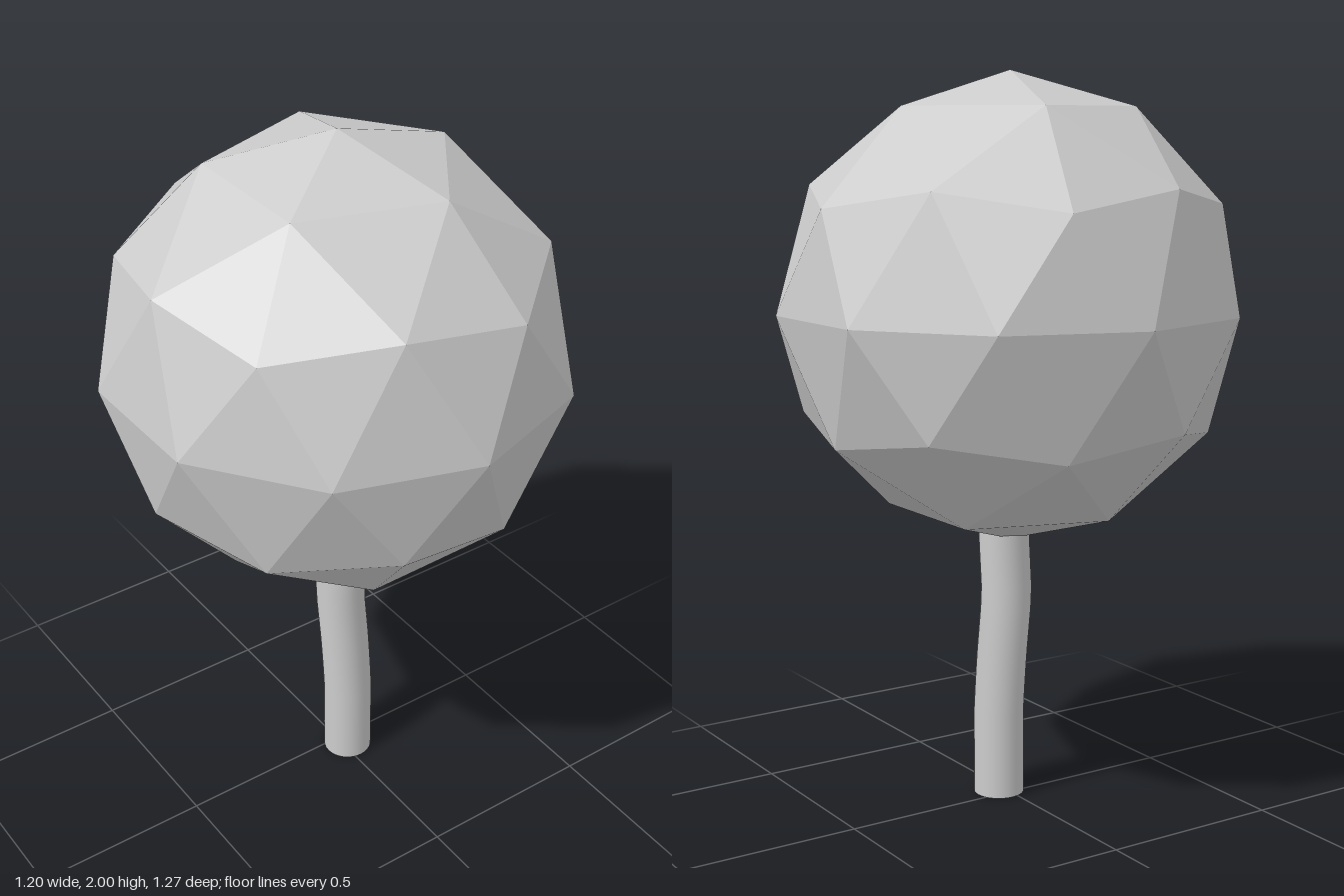
import * as THREE from 'three';

export function createModel() {
  const group = new THREE.Group();
  const stone = new THREE.MeshStandardMaterial({ color: 0xcccccc, flatShading: true });
  stone.name = 'light grey crown';
  const trunkGrey = new THREE.MeshStandardMaterial({ color: 0xcccccc });
  trunkGrey.name = 'light grey trunk';

  // Faceted crown: icosphere turned so that a corner points straight up
  const crownGeometry = new THREE.IcosahedronGeometry(0.633, 1);
  crownGeometry.rotateZ(-Math.atan(2 / (1 + Math.sqrt(5))));
  const crown = new THREE.Mesh(crownGeometry, stone);
  crown.name = 'crown';
  crown.position.y = 1.367;
  group.add(crown);

  // Trunk: smooth cylinder whose rings slide along a gently bent centre line
  const bend = [ // y, x, z
    [0, 0.018, 0.03],
    [0.25, 0.018, 0.03],
    [0.4, 0.016, 0.018],
    [0.58, 0.01, 0.001],
    [0.76, 0.014, 0.01],
    [0.84, 0.014, 0.014],
  ];
  const centreAt = (y) => {
    let i = 0;
    while (i < bend.length - 2 && y > bend[i + 1][0]) i++;
    const [a, b] = [bend[i], bend[i + 1]];
    const t = (y - a[0]) / (b[0] - a[0]);
    return [THREE.MathUtils.lerp(a[1], b[1], t), THREE.MathUtils.lerp(a[2], b[2], t)];
  };
  const height = 0.84;
  const trunkGeometry = new THREE.CylinderGeometry(0.07, 0.07, height, 32, 14);
  trunkGeometry.translate(0, height / 2, 0);
  const p = trunkGeometry.attributes.position;
  for (let i = 0; i < p.count; i++) {
    const [x, z] = centreAt(p.getY(i));
    p.setX(i, p.getX(i) + x);
    p.setZ(i, p.getZ(i) + z);
  }
  const trunk = new THREE.Mesh(trunkGeometry, trunkGrey);
  trunk.name = 'trunk';
  group.add(trunk);

  return group;
}
